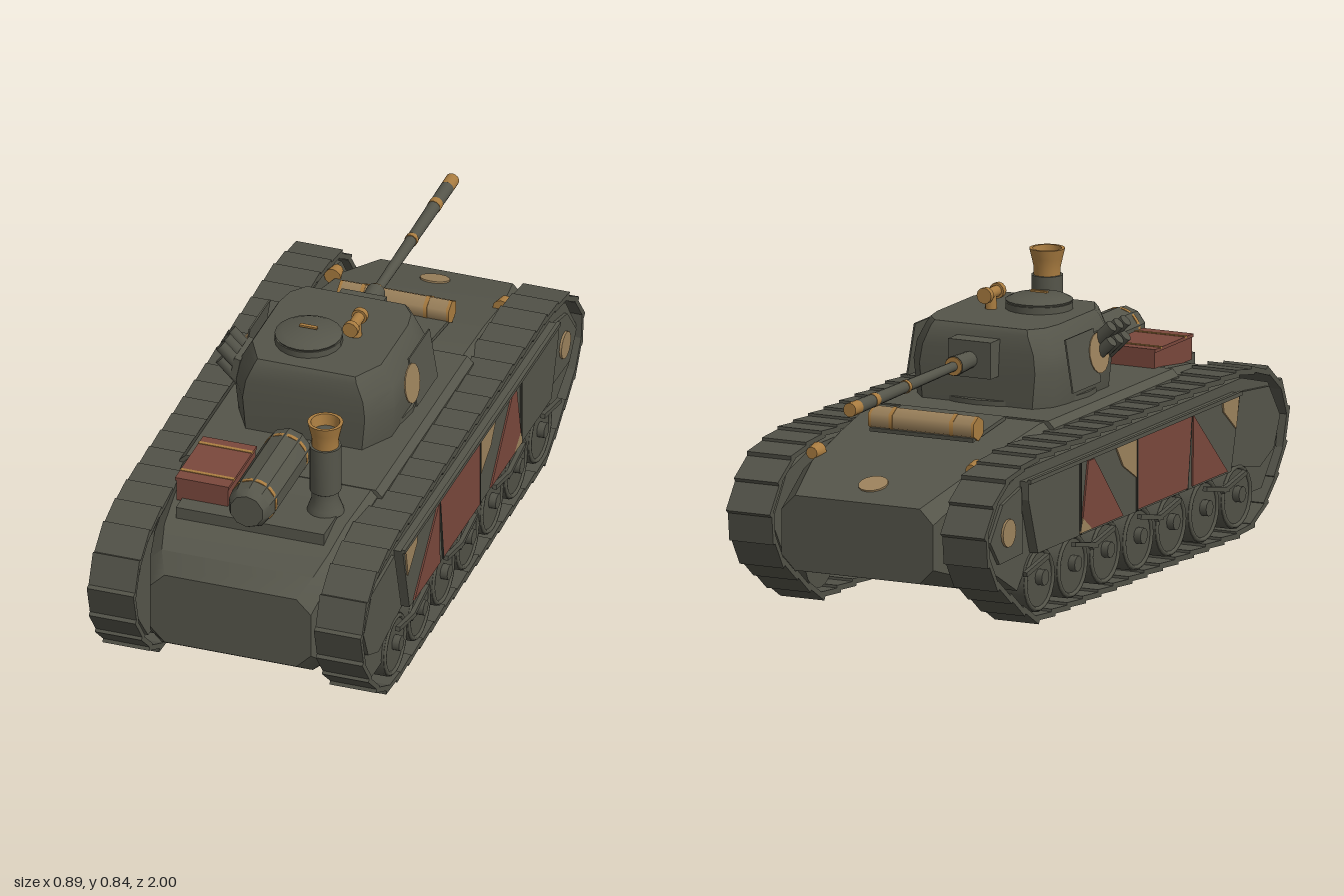
import * as THREE from 'three';
import { toCreasedNormals } from 'three/addons/utils/BufferGeometryUtils.js';

const mat = (name, color) => {
  const m = new THREE.MeshStandardMaterial({ color });
  m.name = name;
  return m;
};

export function createModel() {
  const root = new THREE.Group();
  root.name = 'tank';
  const olive = mat('olive armour', 0x55554a);
  const steel = mat('track steel', 0x515147);
  const dark = mat('dark gaps', 0x34342d);
  const red = mat('rust red', 0x7a483c);
  const tan = mat('tan paint', 0x9c825c);
  const brass = mat('brass', 0xa97c40);

  const add = (name, geo, material, x = 0, y = 0, z = 0, rx = 0, ry = 0, rz = 0) => {
    const m = new THREE.Mesh(geo, material);
    m.name = name;
    m.position.set(x, y, z);
    m.rotation.set(rx, ry, rz);
    root.add(m);
    return m;
  };
  const box = (w, h, d) => new THREE.BoxGeometry(w, h, d);
  const cyl = (r1, r2, h, n = 16) => new THREE.CylinderGeometry(r1, r2, h, n);
  const cylZ = (r1, r2, h, n) => cyl(r1, r2, h, n).rotateX(Math.PI / 2);
  const cylX = (r1, r2, h, n) => cyl(r1, r2, h, n).rotateZ(Math.PI / 2);
  const lathe = (pts, n = 20) =>
    toCreasedNormals(new THREE.LatheGeometry(pts.map(p => new THREE.Vector2(...p)), n), 0.6);

  // Skin through matching rings, capped at both ends, soft over shallow bends
  const loft = rings => {
    const pos = [], n = rings[0].length;
    const tri = (...v) => v.forEach(p => pos.push(...p));
    for (let r = 0; r < rings.length - 1; r++) {
      for (let i = 0; i < n; i++) {
        const j = (i + 1) % n, a = rings[r], b = rings[r + 1];
        tri(a[i], a[j], b[j]);
        tri(a[i], b[j], b[i]);
      }
    }
    const end = rings[rings.length - 1];
    for (let i = 1; i < n - 1; i++) {
      tri(rings[0][0], rings[0][i + 1], rings[0][i]);
      tri(end[0], end[i], end[i + 1]);
    }
    const g = new THREE.BufferGeometry();
    g.setAttribute('position', new THREE.Float32BufferAttribute(pos, 3));
    return toCreasedNormals(g, 0.6);
  };

  // Plate drawn in (z, y), ending at the given distance from the centre
  const sidePlate = (name, pts, outer, depth, material, s) => {
    const shape = new THREE.Shape(pts.map(p => new THREE.Vector2(...p)));
    const g = new THREE.ExtrudeGeometry(shape, { depth, bevelEnabled: false });
    g.rotateY(-Math.PI / 2);
    return add(name, g, material, s > 0 ? outer : depth - outer);
  };

  // Hull: z, half width, bottom, top, corner cut
  const hullRings = [
    [-0.95, 0.25, 0.175, 0.4, 0.045], [-0.75, 0.28, 0.125, 0.462, 0.03],
    [-0.53, 0.285, 0.125, 0.508, 0.02], [-0.33, 0.3, 0.125, 0.54, 0.02],
    [0.52, 0.3, 0.125, 0.543, 0.02], [0.68, 0.29, 0.125, 0.523, 0.025],
    [0.8, 0.285, 0.125, 0.49, 0.03], [0.88, 0.272, 0.135, 0.452, 0.037], [0.94, 0.25, 0.175, 0.405, 0.045],
  ].map(([z, w, b, t, c]) => [
    [w, b + c], [w, t - c], [w - c, t], [c - w, t], [-w, t - c], [-w, b + c], [c - w, b], [w - c, b],
  ].map(([x, y]) => [x, y, z]));
  add('hull', loft(hullRings), olive);
  add('deckEdge', loft([-0.3, 0.5].map(z =>
    [[0.315, 0.5], [0.315, 0.525], [0.295, 0.545], [-0.295, 0.545], [-0.315, 0.525], [-0.315, 0.5]]
      .map(([x, y]) => [x, y, z]))), olive);
  add('engineDeck', box(0.46, 0.04, 0.29), olive, 0, 0.515, 0.625);
  add('bowEmblem', cyl(0.045, 0.045, 0.006, 14), tan, 0, 0.434, -0.847, -0.3);

  // Running gear on both sides
  const trackLine = [[0.985, 0.34], [0.95, 0.42], [0.86, 0.48], [0.72, 0.51], [-0.66, 0.51], [-0.82, 0.475],
    [-0.92, 0.4], [-0.965, 0.3], [-0.88, 0.18], [-0.64, 0.027], [0.74, 0.027], [0.88, 0.11], [0.965, 0.24]];
  const path = new THREE.Path(trackLine.map(p => new THREE.Vector2(...p)));
  path.closePath();
  const links = 44, stops = path.getSpacedPoints(links);
  const frame = [[0.96, 0.33], [0.89, 0.44], [0.72, 0.485], [-0.68, 0.485], [-0.84, 0.44], [-0.935, 0.31],
    [-0.87, 0.21], [-0.72, 0.13], [-0.64, 0.22], [0.72, 0.22], [0.76, 0.13], [0.85, 0.13], [0.94, 0.24]];
  const idlerPlate = [[0.95, 0.33], [0.88, 0.43], [0.68, 0.45], [0.62, 0.24], [0.82, 0.2], [0.91, 0.24]];
  const nosePlate = [[-0.71, 0.44], [-0.83, 0.41], [-0.91, 0.31], [-0.85, 0.235], [-0.7, 0.24]];
  const paint = [
    ['tanPatch', tan, [[0.645, 0.45], [0.54, 0.45], [0.545, 0.42], [0.625, 0.355]]],
    ['redPatch', red, [[0.57, 0.237], [0.345, 0.237], [0.35, 0.45]]],
    ['redPanel', red, [[0.31, 0.237], [-0.003, 0.237], [-0.003, 0.45], [0.34, 0.45]]],
    ['tanPatch', tan, [[-0.015, 0.45], [-0.145, 0.45], [-0.1, 0.385], [-0.015, 0.335]]],
    ['redPatch', red, [[-0.1, 0.237], [-0.285, 0.445], [-0.325, 0.445], [-0.36, 0.28], [-0.3, 0.237]]],
    ['tanPatch', tan, [[-0.3, 0.237], [-0.36, 0.28], [-0.375, 0.237]]],
  ];
  for (const s of [1, -1]) {
    for (let i = 0; i < links; i++) {
      const a = stops[i], b = stops[i + 1];
      const angle = Math.atan2(b.y - a.y, b.x - a.x);
      add('trackLink', box(0.145, 0.016, a.distanceTo(b) * 1.25), steel,
        s * 0.353, (a.y + b.y) / 2, (a.x + b.x) / 2, -angle + 0.08);
    }
    sidePlate('sideFrame', frame, 0.408, 0.12, olive, s);
    sidePlate('idlerPlate', idlerPlate, 0.418, 0.012, olive, s);
    sidePlate('nosePlate', nosePlate, 0.418, 0.012, olive, s);
    sidePlate('skirt', [[0.66, 0.455], [-0.7, 0.455], [-0.7, 0.4], [-0.64, 0.23], [0.6, 0.23]], 0.436, 0.028, olive, s);
    for (const [name, m, pts] of paint) sidePlate(name, pts, 0.441, 0.006, m, s);
    for (const z of [0.326, -0.009, -0.37]) {
      add('skirtSeam', box(0.006, 0.22, 0.006), dark, s * 0.438, 0.343, z, z > 0.3 ? 0.13 : 0);
    }
    add('skirtRail', box(0.012, 0.012, 1.36), olive, s * 0.438, 0.455, -0.02);
    add('noseEmblem', cylX(0.042, 0.042, 0.008, 14), tan, s * 0.421, 0.32, -0.8);
    // Road wheels with rims, hubs and spring arms
    for (let i = 0; i < 7; i++) {
      const z = 0.672 - i * 0.211;
      add('roadWheel', cylX(0.097, 0.097, 0.11, 20), steel, s * 0.36, 0.14, z);
      add('wheelRim', new THREE.TorusGeometry(0.088, 0.007, 6, 20).rotateY(Math.PI / 2), olive, s * 0.415, 0.14, z);
      add('wheelHub', cylX(0.024, 0.024, 0.03, 10), steel, s * 0.422, 0.148, z);
      add('springArm', box(0.014, 0.014, 0.15), steel, s * 0.433, 0.195, z + (i % 2 ? 0.05 : -0.05), i % 2 ? 0.2 : -0.2);
    }
    add('headlight', cylZ(0.026, 0.018, 0.045, 12), brass, s * 0.262, 0.478, -0.71);
  }

  // Turret: height, width scale, length scale
  const plan = [[0.25, 0.2], [0.25, -0.06], [0.235, -0.13], [0.19, -0.18], [-0.19, -0.18], [-0.235, -0.13],
    [-0.25, -0.06], [-0.25, 0.2], [-0.19, 0.3], [0.19, 0.3]];
  add('turret', loft([[0.54, 0.95, 1], [0.65, 1, 1], [0.705, 0.96, 0.98], [0.76, 0.84, 0.95], [0.776, 0.8, 0.9]]
    .map(([y, kx, kz]) => plan.map(([x, z]) => [x * kx, y, 0.06 + (z - 0.06) * kz]))), olive);
  add('turretRing', cyl(0.25, 0.25, 0.02, 24), olive, 0, 0.55, 0.05);
  for (const s of [1, -1]) {
    add('turretPlate', box(0.005, 0.16, 0.18), olive, s * 0.26, 0.665, -0.01, 0, 0, s * 0.16);
    add('turretEmblem', cylX(0.06, 0.06, 0.004, 16), tan, s * 0.2625, 0.67, 0.09, 0, 0, s * 0.16);
  }

  // Hatch and sight
  add('cupola', cyl(0.1, 0.1, 0.022, 20), olive, -0.045, 0.785, 0.13);
  add('hatch', lathe([[0.095, 0], [0.1, 0.008], [0.08, 0.018], [0, 0.021]]), olive, -0.045, 0.795, 0.13);
  add('hatchHandle', box(0.055, 0.006, 0.012), brass, -0.045, 0.825, 0.13);
  add('sightPost', cyl(0.016, 0.018, 0.05, 10), brass, 0.075, 0.795, 0.055);
  add('sightTube', cylZ(0.017, 0.017, 0.09, 12), brass, 0.075, 0.822, 0.058);
  for (const z of [0.018, 0.098]) add('sightRing', cylZ(0.024, 0.024, 0.018, 12), brass, 0.075, 0.822, z);

  // Smoke launchers in two rows
  for (let row = 0; row < 2; row++) {
    for (let i = 0; i < 3; i++) {
      add('smokeTube', cyl(0.019, 0.019, 0.085, 10), steel,
        -0.264, 0.675 + 0.045 * row, 0.11 + 0.045 * i, 0, 0, 0.8);
    }
  }
  add('smokeRack', box(0.02, 0.07, 0.13), olive, -0.242, 0.69, 0.155, 0, 0, -0.2);

  // Gun
  add('mantlet', box(0.14, 0.11, 0.1), olive, 0, 0.688, -0.18);
  const barrel = (name, r1, r2, z1, z2, m) => add(name, cylZ(r1, r2, z1 - z2, 14), m, 0, 0.686, (z1 + z2) / 2);
  barrel('barrelSleeve', 0.024, 0.03, -0.2, -0.33, olive);
  barrel('barrel', 0.014, 0.021, -0.3, -0.96, olive);
  barrel('barrelRing', 0.028, 0.028, -0.31, -0.335, brass);
  barrel('barrelRing', 0.02, 0.02, -0.635, -0.65, brass);
  barrel('barrelRing', 0.021, 0.021, -0.835, -0.86, brass);
  barrel('muzzle', 0.02, 0.016, -0.92, -0.95, brass);
  barrel('muzzleTip', 0.021, 0.021, -0.95, -1, brass);

  // Boiler with straps that stand proud only on its flats
  add('boiler', lathe([[0, 0.395], [0.05, 0.395], [0.068, 0.42], [0.071, 0.44], [0.071, 0.73],
    [0.066, 0.775], [0.052, 0.8], [0, 0.8]], 10).rotateX(Math.PI / 2), olive, 0, 0.584, 0);
  for (const z of [0.46, 0.73]) add('boilerStrap', cylZ(0.07, 0.07, 0.014, 24), brass, 0, 0.584, z);

  // Chimney
  add('chimney', lathe([[0.056, 0.53], [0.05, 0.55], [0.04, 0.575], [0.04, 0.6], [0.047, 0.605],
    [0.047, 0.755], [0, 0.755]]), olive, 0.185, 0, 0.63);
  add('chimneyCrown', lathe([[0.04, 0.75], [0.04, 0.778], [0.046, 0.805], [0.053, 0.834], [0.043, 0.834],
    [0.036, 0.79], [0, 0.79]]), brass, 0.185, 0, 0.63);
  add('chimneyMouth', cyl(0.037, 0.037, 0.006, 20), olive, 0.185, 0.796, 0.63);

  // Strapped red chest
  add('chest', box(0.16, 0.075, 0.24), red, -0.168, 0.563, 0.595);
  add('chestLid', box(0.167, 0.01, 0.246), red, -0.168, 0.598, 0.595);
  for (const z of [0.51, 0.67]) add('chestStrap', box(0.168, 0.006, 0.012), brass, -0.168, 0.602, z);

  // Bedroll with brass ends on a deck plate
  add('bowHatch', box(0.34, 0.012, 0.21), olive, 0, 0.534, -0.435, -0.13);
  add('bedroll', cylX(0.037, 0.037, 0.33, 6), tan, 0, 0.551, -0.51, Math.PI / 6);
  for (const s of [-1, 1]) {
    add('bedrollStrap', cylX(0.039, 0.039, 0.012, 6), brass, s * 0.1, 0.551, -0.51, Math.PI / 6);
    add('bedrollEnd', cylX(0.037, 0.037, 0.01, 6), brass, s * 0.169, 0.551, -0.51, Math.PI / 6);
  }

  return root;
}
